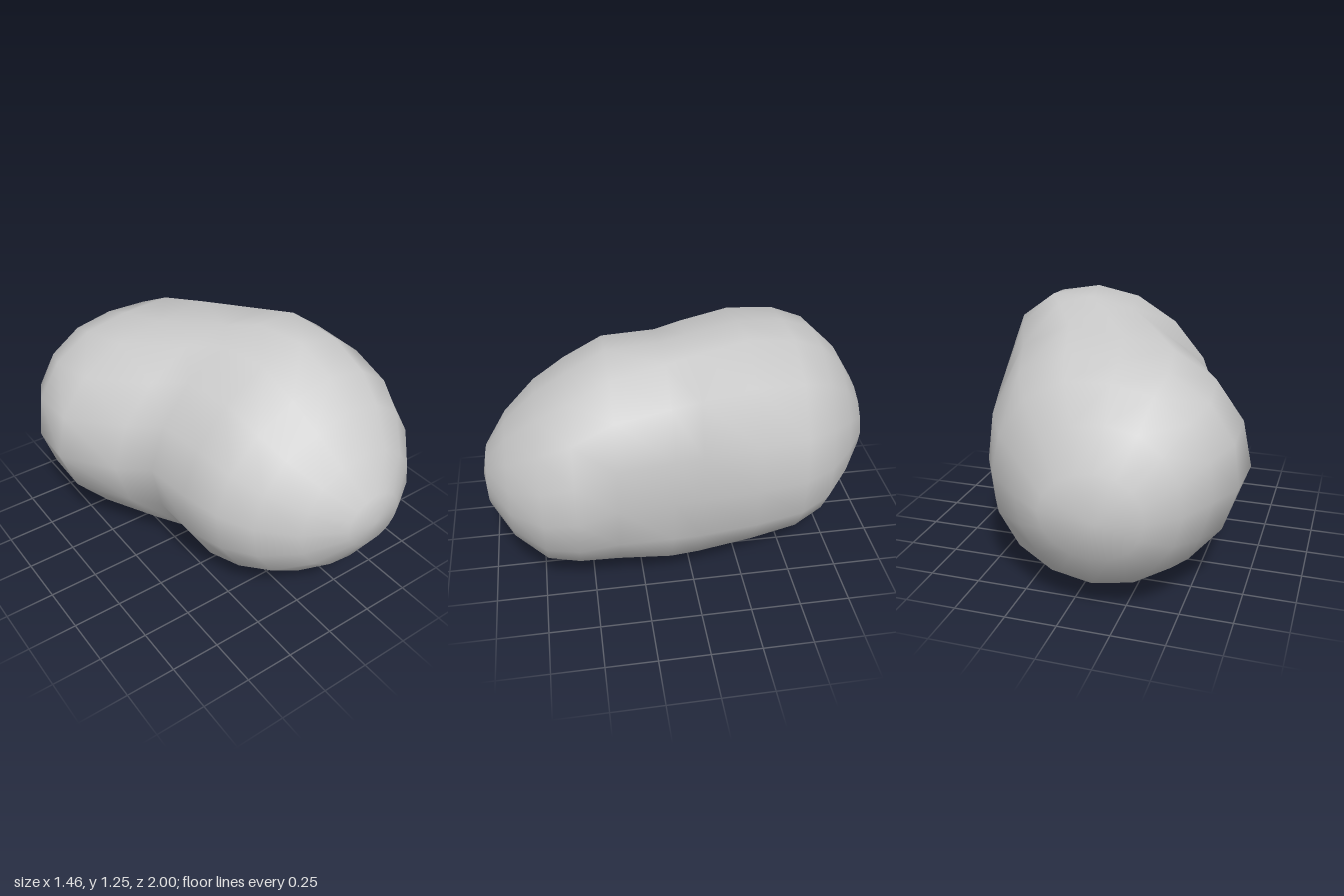
import * as THREE from 'three';

// Cross-sections from back to front:
// z, xMin, xMax, yMin, yMax, lean of the top, lean of the bottom,
// bulge of the upper +x shoulder, bulge of the lower -x belly
const SECTIONS = [
  [-0.965, -0.39, 0.09, 0.34, 0.74, -0.02, 0.00, 0.00, 0.00],
  [-0.86, -0.53, 0.24, 0.17, 0.92, -0.04, 0.02, 0.01, 0.00],
  [-0.72, -0.63, 0.41, 0.07, 1.06, -0.06, 0.04, 0.04, 0.00],
  [-0.56, -0.715, 0.50, 0.02, 1.12, -0.05, 0.06, 0.07, 0.00],
  [-0.31, -0.73, 0.55, 0.00, 1.16, -0.01, 0.08, 0.10, 0.00],
  [-0.02, -0.57, 0.61, 0.015, 1.21, 0.07, 0.08, 0.08, 0.01],
  [0.12, -0.445, 0.64, 0.035, 1.24, 0.10, 0.07, 0.06, 0.04],
  [0.38, -0.435, 0.69, 0.07, 1.245, 0.115, 0.02, 0.01, 0.05],
  [0.57, -0.38, 0.725, 0.12, 1.15, 0.09, 0.00, 0.00, 0.04],
  [0.72, -0.28, 0.68, 0.16, 1.05, 0.05, 0.00, 0.00, 0.02],
  [0.87, -0.12, 0.55, 0.29, 0.90, 0.02, 0.00, 0.00, 0.01],
  [0.975, 0.07, 0.38, 0.46, 0.74, 0.00, 0.00, 0.00, 0.00],
];
const BACK_TIP = [-0.18, 0.53, -1];
const FRONT_TIP = [0.22, 0.60, 1];
const SIDES = 16;

// Skins the oval rings into one closed surface with a tip at each end
function beanGeometry() {
  const points = [];
  const faces = [];
  for (const [z, x0, x1, y0, y1, topLean, bottomLean, shoulder, belly] of SECTIONS) {
    for (let j = 0; j < SIDES; j++) {
      const a = (j / SIDES) * Math.PI * 2;
      const c = Math.cos(a);
      const s = Math.sin(a);
      const lean = s > 0 ? topLean * s : -bottomLean * s;
      // Positive only in the two quadrants that bulge
      const push = Math.max(0, Math.sin(2 * a)) * (s > 0 ? shoulder : belly);
      points.push(
        (x0 + x1) / 2 + ((x1 - x0) / 2 + push * 0.7) * c + lean,
        (y0 + y1) / 2 + ((y1 - y0) / 2 + push * 1.2) * s,
        z
      );
    }
  }
  const last = SECTIONS.length - 1;
  const back = SECTIONS.length * SIDES;
  const front = back + 1;
  points.push(...BACK_TIP, ...FRONT_TIP);

  for (let j = 0; j < SIDES; j++) {
    const k = (j + 1) % SIDES;
    for (let i = 0; i < last; i++) {
      const a = i * SIDES + j, b = i * SIDES + k;
      const c = b + SIDES, d = a + SIDES;
      faces.push(a, b, c, a, c, d);
    }
    faces.push(back, k, j);
    faces.push(front, last * SIDES + j, last * SIDES + k);
  }

  const geometry = new THREE.BufferGeometry();
  geometry.setAttribute('position', new THREE.Float32BufferAttribute(points, 3));
  geometry.setIndex(faces);
  geometry.computeVertexNormals();
  return geometry;
}

export function createModel() {
  const group = new THREE.Group();
  group.name = 'bean';
  const body = new THREE.Mesh(
    beanGeometry(),
    new THREE.MeshStandardMaterial({ color: 0xcccccc })
  );
  body.name = 'beanBody';
  group.add(body);
  return group;
}
